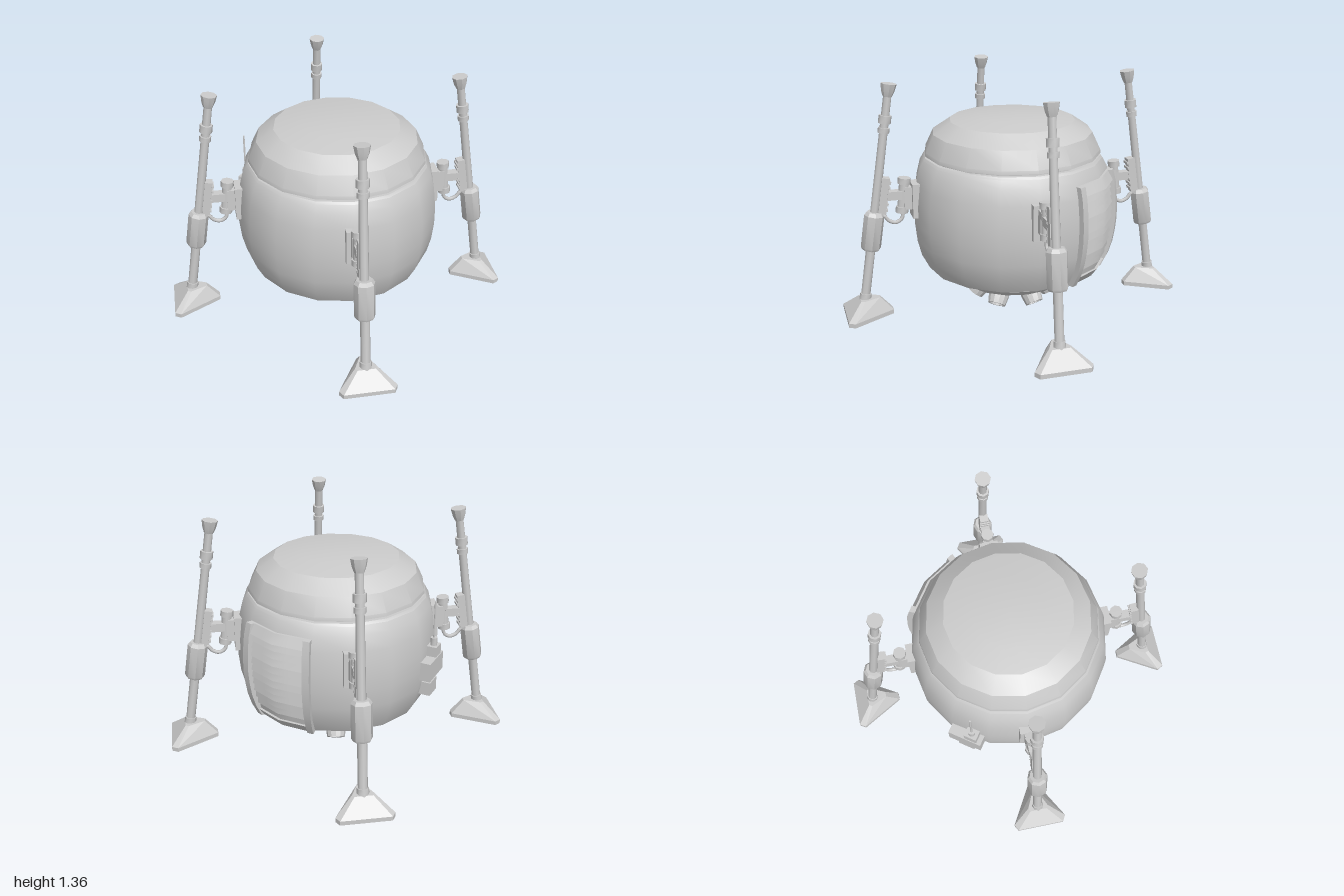
import * as THREE from 'three';
import { toCreasedNormals } from 'three/addons/utils/BufferGeometryUtils.js';
import { ConvexGeometry } from 'three/addons/geometries/ConvexGeometry.js';

const smooth = new THREE.MeshStandardMaterial({ color: 0xcccccc });
const flat = new THREE.MeshStandardMaterial({ color: 0xcccccc, flatShading: true });
const SIDES = 16;
const STEP = (Math.PI * 2) / SIDES;

// Hull outline as [radius, height]
const HULL = [[0.5, 0.255], [0.545, 0.34], [0.568, 0.43], [0.58, 0.54], [0.58, 0.65], [0.567, 0.77], [0.545, 0.86], [0.52, 0.905]];

function add(parent, name, geometry, material = flat, x = 0, y = 0, z = 0) {
  const mesh = new THREE.Mesh(geometry, material);
  mesh.name = name;
  mesh.position.set(x, y, z);
  parent.add(mesh);
  return mesh;
}

function lathe(parent, name, points, sides = SIDES, crease = 0.5) {
  const g = new THREE.LatheGeometry(points.map(([r, y]) => new THREE.Vector2(r, y)), sides);
  return add(parent, name, toCreasedNormals(g, crease), smooth);
}

const box = (parent, name, w, h, d, x, y, z) => add(parent, name, new THREE.BoxGeometry(w, h, d), flat, x, y, z);

const cyl = (parent, name, r0, r1, h, x, y, z, sides = 8) =>
  add(parent, name, toCreasedNormals(new THREE.CylinderGeometry(r1, r0, h, sides), 0.9), smooth, x, y, z);

// Radius of the many-sided hull at an angle and height
function hullRadius(angle, y) {
  let i = 0;
  while (i < HULL.length - 2 && y > HULL[i + 1][1]) i++;
  const [r0, y0] = HULL[i], [r1, y1] = HULL[i + 1];
  const r = r0 + (r1 - r0) * Math.max(0, (y - y0) / (y1 - y0));
  const local = ((angle % STEP) + STEP) % STEP - STEP / 2;
  return r * Math.cos(STEP / 2) / Math.cos(local);
}

// Slab wrapped on the hull; its outer face stands off by dLow at the bottom and dHigh at the top
function hullSlab(parent, name, a0, a1, y0, y1, dLow, dHigh = dLow) {
  const g = new THREE.BoxGeometry(1, 1, 1, 4, y1 - y0 > 0.2 ? 8 : 1, 1);
  const p = g.attributes.position;
  for (let i = 0; i < p.count; i++) {
    const a = a0 + (a1 - a0) * (p.getX(i) + 0.5);
    const t = p.getY(i) + 0.5;
    const y = y0 + (y1 - y0) * t;
    const r = hullRadius(a, y) + (p.getZ(i) > 0 ? dLow + (dHigh - dLow) * t : -0.03);
    p.setXYZ(i, Math.sin(a) * r, y, Math.cos(a) * r);
  }
  return add(parent, name, toCreasedNormals(g, 0.5), smooth);
}

function buildBody(parent) {
  const body = new THREE.Group();
  body.name = 'body';
  parent.add(body);
  lathe(body, 'underside', [[0.32, 0.205], [0.5, 0.255]]);
  lathe(body, 'hull', HULL);
  lathe(body, 'seam', [[0.52, 0.905], [0.51, 0.918], [0.485, 0.918], [0.485, 0.93], [0.51, 0.93]]);
  lathe(body, 'lid', [[0.51, 0.93], [0.507, 0.95], [0.46, 1.05], [0.36, 1.118], [0.2, 1.14], [0, 1.145]], SIDES, 0.45);
  lathe(body, 'baseRing', [[0, 0.165], [0.25, 0.165], [0.27, 0.15], [0.305, 0.15], [0.335, 0.18], [0.335, 0.21], [0.31, 0.215]]);
}

// One nozzle in the middle and six splayed around it
function buildEngines(parent) {
  const engines = new THREE.Group();
  engines.name = 'engines';
  parent.add(engines);
  const profile = [[0, -0.06], [0.038, -0.06], [0.042, -0.08], [0.052, -0.08], [0.06, -0.03], [0.06, 0.03], [0.045, 0.1], [0, 0.1]];
  lathe(engines, 'centreNozzle', profile, 12).position.y = 0.12;
  for (let i = 0; i < 6; i++) {
    const pivot = new THREE.Group();
    pivot.name = 'outerNozzle';
    pivot.rotation.y = THREE.MathUtils.degToRad(80 + i * 60);
    engines.add(pivot);
    const nozzle = lathe(pivot, 'nozzle', profile, 12);
    nozzle.position.set(0.175, 0.115, 0);
    nozzle.rotation.z = 0.64;
  }
}

// Louvred hatch at the back
function buildHatch(parent) {
  const hatch = new THREE.Group();
  hatch.name = 'hatch';
  parent.add(hatch);
  const mid = Math.PI * 0.75, half = 0.385, rail = 0.07;
  for (const s of [-1, 1]) {
    const a = mid + s * half, b = mid + s * (half - rail);
    hullSlab(hatch, 'sideRail', Math.min(a, b), Math.max(a, b), 0.25, 0.84, 0.035);
  }
  hullSlab(hatch, 'topRail', mid - half + rail, mid + half - rail, 0.785, 0.84, 0.03, 0.012);
  hullSlab(hatch, 'bottomRail', mid - half + rail, mid + half - rail, 0.25, 0.3, 0.018, 0.03);
  const count = 11, h = 0.485 / count;
  for (let i = 0; i < count; i++) {
    const y = 0.3 + i * h;
    hullSlab(hatch, 'slat', mid - half + rail, mid + half - rail, y, y + h * 0.93, 0.014, 0.003);
  }
}

// Equipment boxes and aerial
function buildEquipment(parent) {
  const kit = new THREE.Group();
  kit.name = 'equipment';
  kit.rotation.y = Math.PI + THREE.MathUtils.degToRad(54.6);
  parent.add(kit);
  box(kit, 'mainBox', 0.2, 0.11, 0.09, 0, 0.55, 0.585);
  box(kit, 'lowerBox', 0.1, 0.08, 0.08, 0, 0.42, 0.575);
  box(kit, 'aerialMount', 0.075, 0.06, 0.07, 0.035, 0.635, 0.59);
  cyl(kit, 'aerialSocket', 0.02, 0.02, 0.05, 0.035, 0.685, 0.595);
  cyl(kit, 'aerial', 0.006, 0.006, 0.24, 0.035, 0.81, 0.595, 6);
}

// Leg pointing along +x: foot, leaning strut and bracket
function buildLeg() {
  const leg = new THREE.Group();
  leg.name = 'leg';

  const lower = [[1, 0.14], [0.965, 0.16], [0.725, 0.02]];
  const upper = [[0.915, 0.05], [0.895, 0.06], [0.8, 0.015]];
  const points = [];
  for (const s of [-1, 1]) {
    for (const [x, z] of lower) points.push(new THREE.Vector3(x, 0, s * z), new THREE.Vector3(x, 0.025, s * z));
    for (const [x, z] of upper) points.push(new THREE.Vector3(x, 0.11, s * z));
  }
  add(leg, 'foot', new ConvexGeometry(points));

  const strut = new THREE.Group();
  strut.name = 'strut';
  strut.position.set(0.885, 0.11, 0);
  strut.rotation.z = 0.148;
  leg.add(strut);
  cyl(strut, 'ankle', 0.035, 0.033, 0.04, 0, 0.01, 0);
  cyl(strut, 'lowerRod', 0.027, 0.027, 0.34, 0, 0.16, 0);
  lathe(strut, 'sleeve', [[0, 0.3], [0.05, 0.3], [0.058, 0.315], [0.058, 0.505], [0.045, 0.525], [0, 0.525]], 8);
  cyl(strut, 'upperRod', 0.026, 0.023, 0.72, 0, 0.85, 0);
  cyl(strut, 'lowerCollar', 0.033, 0.033, 0.03, 0, 1.0, 0);
  cyl(strut, 'upperCollar', 0.036, 0.036, 0.045, 0, 1.062, 0);
  lathe(strut, 'cap', [[0, 1.19], [0.026, 1.19], [0.037, 1.22], [0.045, 1.262], [0, 1.262]], 8);
  box(strut, 'slideRail', 0.045, 0.21, 0.05, -0.04, 0.625, 0);
  for (let i = 0; i < 6; i++) box(strut, 'railTooth', 0.012, 0.015, 0.056, -0.064, 0.545 + i * 0.032, 0);

  const bracket = new THREE.Group();
  bracket.name = 'bracket';
  leg.add(bracket);
  box(bracket, 'wallPlate', 0.05, 0.2, 0.11, 0.572, 0.685, 0);
  box(bracket, 'hingeBlock', 0.06, 0.13, 0.06, 0.61, 0.7, 0);
  const hinge = new THREE.Group();
  hinge.name = 'hinge';
  hinge.position.set(0.643, 0.715, 0);
  hinge.rotation.z = 0.1;
  bracket.add(hinge);
  cyl(hinge, 'hingePin', 0.028, 0.028, 0.2, 0, 0, 0);
  for (const s of [-1, 1]) cyl(hinge, 'hingeCap', 0.037, 0.037, 0.035, 0, s * 0.085, 0);
  box(bracket, 'arm', 0.1, 0.05, 0.05, 0.7, 0.72, 0);
  const path = [[0.78, 0.6], [0.755, 0.6], [0.73, 0.57], [0.69, 0.555], [0.655, 0.575], [0.645, 0.625]];
  const curve = new THREE.CatmullRomCurve3(path.map(([x, y]) => new THREE.Vector3(x, y, 0)));
  add(bracket, 'hose', new THREE.TubeGeometry(curve, 14, 0.011, 6), smooth);
  return leg;
}

export function createModel() {
  const model = new THREE.Group();
  model.name = 'landingCapsule';
  buildBody(model);
  buildEngines(model);
  buildHatch(model);
  buildEquipment(model);
  for (let i = 0; i < 4; i++) {
    const leg = buildLeg();
    leg.rotation.y = (i * Math.PI) / 2;
    model.add(leg);
  }
  return model;
}
